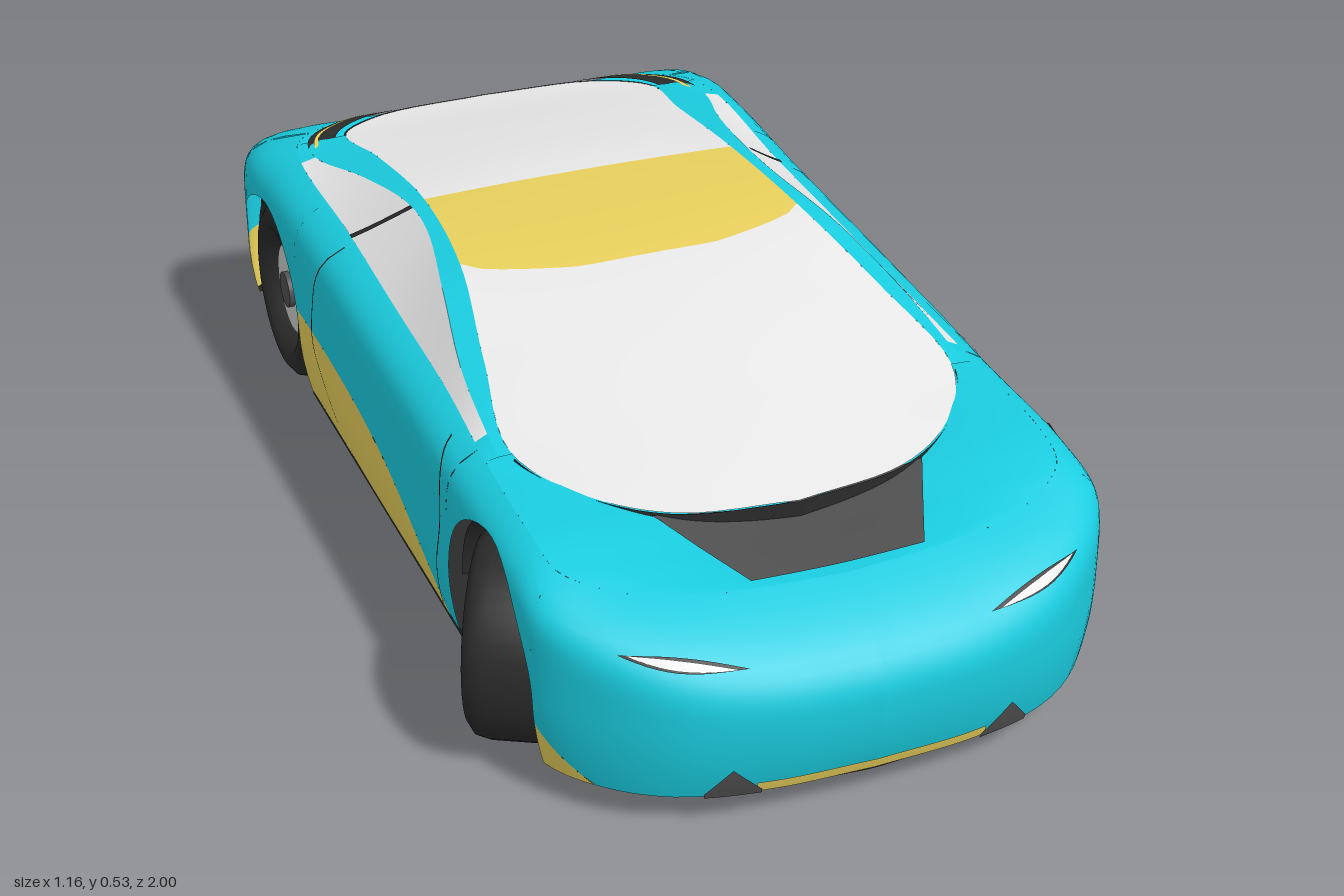
import * as THREE from 'three';

const paint = (name, color) => Object.assign(new THREE.MeshStandardMaterial({ color, side: THREE.DoubleSide }), { name });
const teal = paint('teal paint', 0x1accdf);
const gold = paint('gold trim', 0xe8d05c);
const glass = paint('pale glass', 0xf0f0f0);
const black = paint('black rubber', 0x2a2a2a);
const grey = paint('dark grey plastic', 0x505050);
const silver = paint('silver rim', 0xcacaca);

const { lerp, clamp } = THREE.MathUtils;
const V = (x, y, z) => new THREE.Vector3(x, y, z);
const spline = pts => new THREE.CatmullRomCurve3(pts.map(p => V(...p)));
const at = (c, t) => c.getPoint(clamp(t, 0, 1));
// Parameter of a nose-to-tail curve at a given z
const inv = (c, z) => {
  let a = 0, b = 1;
  for (let i = 0; i < 24; i++) {
    const m = (a + b) / 2;
    if (c.getPoint(m).z > z) a = m; else b = m;
  }
  return (a + b) / 2;
};

// Widest outline of the body, and its shoulder crest, station by station
const outline = spline([[0, .2, 1], [.18, .2, .988], [.33, .2, .945], [.435, .2, .865], [.495, .2, .775], [.503, .2, .66],
  [.503, .2, .42], [.503, .2, .2], [.505, .2, -.1], [.505, .2, -.4], [.51, .2, -.7], [.51, .2, -.86],
  [.475, .2, -.95], [.25, .2, -.988], [0, .2, -1]]);
const crest = spline([[0, .345, .84], [.13, .347, .835], [.26, .353, .82], [.365, .366, .785], [.435, .385, .73], [.447, .402, .65],
  [.445, .41, .42], [.437, .425, .2], [.435, .435, -.1], [.432, .445, -.4], [.435, .455, -.7], [.41, .455, -.79],
  [.33, .455, -.84], [.18, .45, -.862], [0, .45, -.865]]);
// Edge of the top glass, top of the side windows, and centre lines
const glassEdge = spline([[0, .379, .67], [.2, .384, .64], [.32, .396, .56], [.4, .415, .42], [.37, .465, .2], [.325, .516, -.05],
  [.305, .522, -.32], [.31, .487, -.6], [.32, .459, -.78], [.22, .454, -.85], [0, .452, -.87]]);
const rail = spline([[.425, .414, .42], [.41, .455, .2], [.375, .499, 0], [.338, .519, -.2], [.335, .518, -.32],
  [.365, .49, -.52], [.405, .464, -.67], [.41, .457, -.77]]);
const roofLine = spline([[0, .379, .67], [0, .406, .56], [0, .438, .42], [0, .485, .2], [0, .517, 0], [0, .528, -.2],
  [0, .523, -.4], [0, .496, -.6], [0, .46, -.8], [0, .452, -.87]]);
const deckLine = spline([[0, .345, .84], [0, .346, .78], [0, .347, .67], [0, .36, .42], [0, .4, -.5], [0, .42, -.78], [0, .45, -.865]]);

// Surfaces
const wall = (s, y) => {
  const o = at(outline, s), h = at(crest, s);
  if (y < .2) {
    const k = .035 * ((.2 - y) / .14) ** 2;
    return V(o.x * (1 - k), y, o.z * (1 - .8 * k * o.z ** 8));
  }
  const f = ((y - .2) / (h.y - .2)) ** (2.5 + 6 * Math.min(1, o.x / .5) ** 4);
  return V(lerp(o.x, h.x, f), y, lerp(o.z, h.z, f));
};
const deck = (s, t) => {
  const h = at(crest, s), c = at(deckLine, inv(deckLine, h.z));
  return V(h.x * (1 - t), lerp(h.y, c.y, t * t * (3 - 2 * t)), h.z);
};
const canopy = (s, t) => {
  const e = at(glassEdge, s), c = at(roofLine, inv(roofLine, e.z));
  return V(e.x * (1 - t), lerp(e.y, c.y, 1 - (1 - t) ** 2), e.z);
};
const riser = (s, t) => at(glassEdge, s).sub(V(0, .04 * t, 0));
const ruled = (a, b) => (z, t) => at(a, inv(a, z)).lerp(at(b, inv(b, z)), t);
const pillar = ruled(glassEdge, rail), sideGlass = ruled(rail, crest);

// Mirrored patch of a surface; map turns (u, v) into surface parameters
function patch(group, name, mat, surf, map, nu, nv, lift = 0) {
  const pos = [], nor = [], idx = [], e = 1e-3;
  for (const side of [1, -1]) {
    const base = pos.length / 3;
    for (let i = 0; i <= nu; i++) for (let j = 0; j <= nv; j++) {
      const [a, b] = map(i / nu, j / nv), p = surf(a, b);
      const n = surf(a + e, b).sub(surf(a - e, b)).cross(surf(a, b + e).sub(surf(a, b - e)));
      if (n.length() < 1e-10) n.set(0, 1, 0);
      if (Math.abs(p.x) < 1e-4) n.x = 0;
      n.normalize();
      if (n.dot(V(p.x, p.y - .15, p.z * .4)) < 0) n.negate();
      p.addScaledVector(n, lift);
      pos.push(p.x * side, p.y, p.z);
      nor.push(n.x * side, n.y, n.z);
    }
    const P = k => V().fromArray(pos, k * 3), N = k => V().fromArray(nor, k * 3);
    const tri = (a, b, c) => {
      const f = P(b).sub(P(a)).cross(P(c).sub(P(a)));
      if (f.dot(N(a).add(N(b)).add(N(c))) < 0) idx.push(a, c, b); else idx.push(a, b, c);
    };
    for (let i = 0; i < nu; i++) for (let j = 0; j < nv; j++) {
      const k = base + i * (nv + 1) + j, m = k + nv + 1;
      tri(k, m, m + 1);
      tri(k, m + 1, k + 1);
    }
  }
  const g = new THREE.BufferGeometry();
  g.setAttribute('position', new THREE.Float32BufferAttribute(pos, 3));
  g.setAttribute('normal', new THREE.Float32BufferAttribute(nor, 3));
  g.setIndex(idx);
  add(group, name, g, mat);
}
function add(group, name, geo, mat, x = 0, y = 0, z = 0) {
  const m = new THREE.Mesh(geo, mat);
  m.name = name;
  m.position.set(x, y, z);
  group.add(m);
}

const ARCH = .195, AXLE = .178, FRONT = .575, REAR = -.71;

function makeWheel(name, side, x, z, steer) {
  const pivot = new THREE.Group(), w = new THREE.Group();
  pivot.name = name;
  pivot.position.set(side * x, AXLE, z);
  pivot.rotation.y = steer;
  w.rotation.z = -side * Math.PI / 2;
  pivot.add(w);
  const tyre = [[.11, -.075], [.165, -.075], [.178, -.05], [.178, .035], [.172, .06], [.155, .073], [.125, .07], [.11, .04]];
  add(w, 'tyre', new THREE.LatheGeometry(tyre.map(p => new THREE.Vector2(...p)), 40), black);
  const disc = (n, r, h, y, mat) => add(w, n, new THREE.CylinderGeometry(r, r, h, 32), mat, 0, y, 0);
  disc('wheelWell', .114, .09, -.02, black);
  disc('rim', .088, .03, .035, silver);
  disc('hub', .036, .03, .046, grey);
  disc('axleStub', .04, .12, -.12, grey);
  return pivot;
}

// Flat floor plate from half an outline, raised by slope behind its front edge
function makePan(group, name, half, y, slope) {
  const loop = [...half, ...half.map(([x, z]) => [-x, z]).reverse()];
  const geo = new THREE.ExtrudeGeometry(new THREE.Shape(loop.map(([x, z]) => new THREE.Vector2(x, -z))), { depth: .012, bevelEnabled: false });
  geo.rotateX(-Math.PI / 2);
  const p = geo.attributes.position;
  for (let i = 0; i < p.count; i++) p.setY(i, p.getY(i) + y + (half[0][1] - p.getZ(i)) * slope);
  geo.computeVertexNormals();
  add(group, name, geo, black);
}

export function createModel() {
  const car = new THREE.Group();
  car.name = 'car';

  // Body sides, split at the wheel arches and along the gold trim
  const section = (name, mat, z0, z1, low, high, nu, nv) => {
    const a = inv(outline, z0), b = inv(outline, z1);
    patch(car, name, mat, wall, (u, v) => {
      const s = lerp(a, b, .5 - .5 * Math.cos(Math.PI * u)), z = at(outline, s).z;
      return [s, lerp(low(z), high(z, s), v)];
    }, nu, nv);
  };
  const top = (z, s) => at(crest, s).y;
  const arch = c => z => AXLE + Math.sqrt(Math.max(0, ARCH ** 2 - (z - c) ** 2));
  const corner = z => Math.max(.06, .06 + (.86 - z) * .9);
  const sill = z => .06 + .175 * (1 - clamp((z + .515) / .835, 0, 1) ** 4);
  const skirt = z => .205 - .015 * clamp((-z - .96) / .03, 0, 1);
  section('noseShell', teal, 1, FRONT + ARCH, corner, top, 24, 18);
  section('frontCornerTrim', gold, .86, FRONT + ARCH, () => .06, corner, 6, 3);
  section('frontFender', teal, FRONT + ARCH, FRONT - ARCH, arch(FRONT), top, 28, 10);
  section('doorPanel', teal, FRONT - ARCH, REAR + ARCH, sill, top, 26, 20);
  section('sillTrim', gold, .32, REAR + ARCH, () => .055, sill, 22, 5);
  section('rearFender', teal, REAR + ARCH, REAR - ARCH, arch(REAR), top, 28, 10);
  section('tailShell', teal, REAR - ARCH, -1, skirt, top, 22, 18);
  section('tailSkirt', gold, REAR - ARCH, -1, () => .08, skirt, 22, 4);

  // Hood and rear deck in one sheet, with the sunken vent ahead of the windscreen
  patch(car, 'hoodAndDeck', teal, deck, (u, v) => [u, v], 72, 14);
  patch(car, 'hoodVent', grey, deck, (u, v) => {
    const s = inv(crest, lerp(.82, .63, u));
    return [s, 1 - lerp(.15, .24, u) * v / at(crest, s).x];
  }, 8, 8, .004);

  // Windscreen, roof and rear window, with black risers beneath the glass edges
  const roofFront = v => inv(glassEdge, lerp(-.06, .02, Math.min(1, v * 1.6) ** .6)), roofBack = inv(glassEdge, -.32);
  patch(car, 'windscreen', glass, canopy, (u, v) => [roofFront(v) * u, v], 30, 10);
  patch(car, 'roofPanel', gold, canopy, (u, v) => [lerp(roofFront(v), roofBack, u), v], 10, 10);
  patch(car, 'rearWindow', glass, canopy, (u, v) => [lerp(roofBack, 1, u), v], 24, 10);
  const sealFront = inv(glassEdge, .43), sealRear = inv(glassEdge, -.74);
  patch(car, 'windscreenRiser', black, riser, (u, v) => [sealFront * u, v], 24, 1, .003);
  patch(car, 'rearRiser', black, riser, (u, v) => [lerp(sealRear, 1, u), v], 24, 1, .003);

  // Roof pillars, side windows and the strip that divides them
  patch(car, 'roofPillar', teal, pillar, (u, v) => [lerp(.42, -.77, u), v], 40, 4);
  patch(car, 'sideWindow', glass, sideGlass, (u, v) => [lerp(.36, -.69, u), v], 36, 4);
  patch(car, 'cornerInfill', teal, sideGlass, (u, v) => [lerp(-.69, -.77, u), v], 4, 2);
  patch(car, 'frontInfill', teal, sideGlass, (u, v) => [lerp(.42, .36, u), v], 4, 2);
  patch(car, 'windowDivider', black, sideGlass, (u, v) => [-.3 - .07 * v + .014 * (.5 - u), v], 1, 4, .003);

  // Slots beside the rear window
  const slotA = inv(crest, -.72), slotB = inv(crest, -.859);
  patch(car, 'rearSlot', black, deck, (u, v) => [lerp(slotA, slotB, u), lerp(.05, .18, v)], 12, 3, .004);
  patch(car, 'rearSlotTrim', gold, deck, (u, v) => [lerp(slotA, slotB, u), lerp(.08, .1, v)], 12, 1, .006);

  // Headlights, front lip and vents, laid onto the wall by station
  const decal = (name, mat, s0, s1, low, high, lift, nu = 12) => patch(car, name, mat, wall,
    (u, v) => [lerp(s0, s1, u) / 14, lerp(low(u), high(u), v)], nu, 2, lift);
  const lamp = h => u => lerp(.286, .314, u) + h * Math.sin(Math.PI * u);
  decal('headlightFrame', black, 1.25, 2.7, lamp(-.008), lamp(.008), .002);
  decal('headlight', glass, 1.34, 2.62, lamp(-.006), lamp(.005), .004);
  decal('frontLip', gold, 0, 1.15, () => .064, () => .085, .003);
  decal('frontVent', grey, 1.1, 1.7, () => .062, u => .062 + .06 * (1 - Math.abs(u - .5) * 1.7), .005);
  decal('tailNotch', grey, 12.6, 12.85, () => .08, () => .13, .005, 4);

  // Door shut lines
  const shut = (name, pts) => {
    const c = spline(pts);
    patch(car, name, black, wall, (u, v) => {
      const p = at(c, v);
      return [inv(outline, p.z + .004 * (.5 - u)), p.y];
    }, 1, 20, .002);
  };
  shut('doorFrontLine', [[0, .405, .31], [0, .36, .345], [0, .28, .35], [0, .16, .315], [0, .07, .3]]);
  shut('doorRearLine', [[0, .435, -.35], [0, .33, -.39], [0, .22, -.415], [0, .16, -.36], [0, .1, -.3]]);

  // Floor plates with wheel cut-outs, and the dark inner structure
  makePan(car, 'noseFloor', [[.01, .97], [.174, .958], [.318, .917], [.418, .845], [.476, .765], [.01, .765]], .056, 0);
  makePan(car, 'mainFloor', [[.27, .775], [.27, .38], [.482, .38], [.486, -.515]], .046, 0);
  makePan(car, 'tailFloor', [[.28, -.515], [.28, -.905], [.488, -.905], [.455, -.93], [.24, -.96], [.01, -.972]], .046, .085);
  add(car, 'innerTub', new THREE.BoxGeometry(.54, .24, 1.58), black, 0, .19, -.04);
  add(car, 'frontBulkhead', new THREE.BoxGeometry(.94, .25, .01), black, 0, .19, .762);
  add(car, 'rearBulkhead', new THREE.BoxGeometry(.94, .24, .01), black, 0, .21, -.898);

  // Wheels, arch liners and their inner walls
  for (const side of [1, -1]) {
    car.add(makeWheel('frontWheel', side, .443, FRONT, -.5));
    car.add(makeWheel('rearWheel', side, .42, REAR, 0));
    for (const z of [FRONT, REAR]) {
      const liner = new THREE.CylinderGeometry(ARCH - .003, ARCH - .003, .21, 28, 1, true, 0, Math.PI);
      liner.rotateZ(Math.PI / 2);
      add(car, 'archLiner', liner, black, side * .375, AXLE, z);
      const inner = new THREE.CircleGeometry(ARCH, 28, 0, Math.PI);
      inner.rotateY(side * Math.PI / 2);
      add(car, 'archInnerWall', inner, black, side * .276, AXLE - .02, z);
    }
  }
  return car;
}
